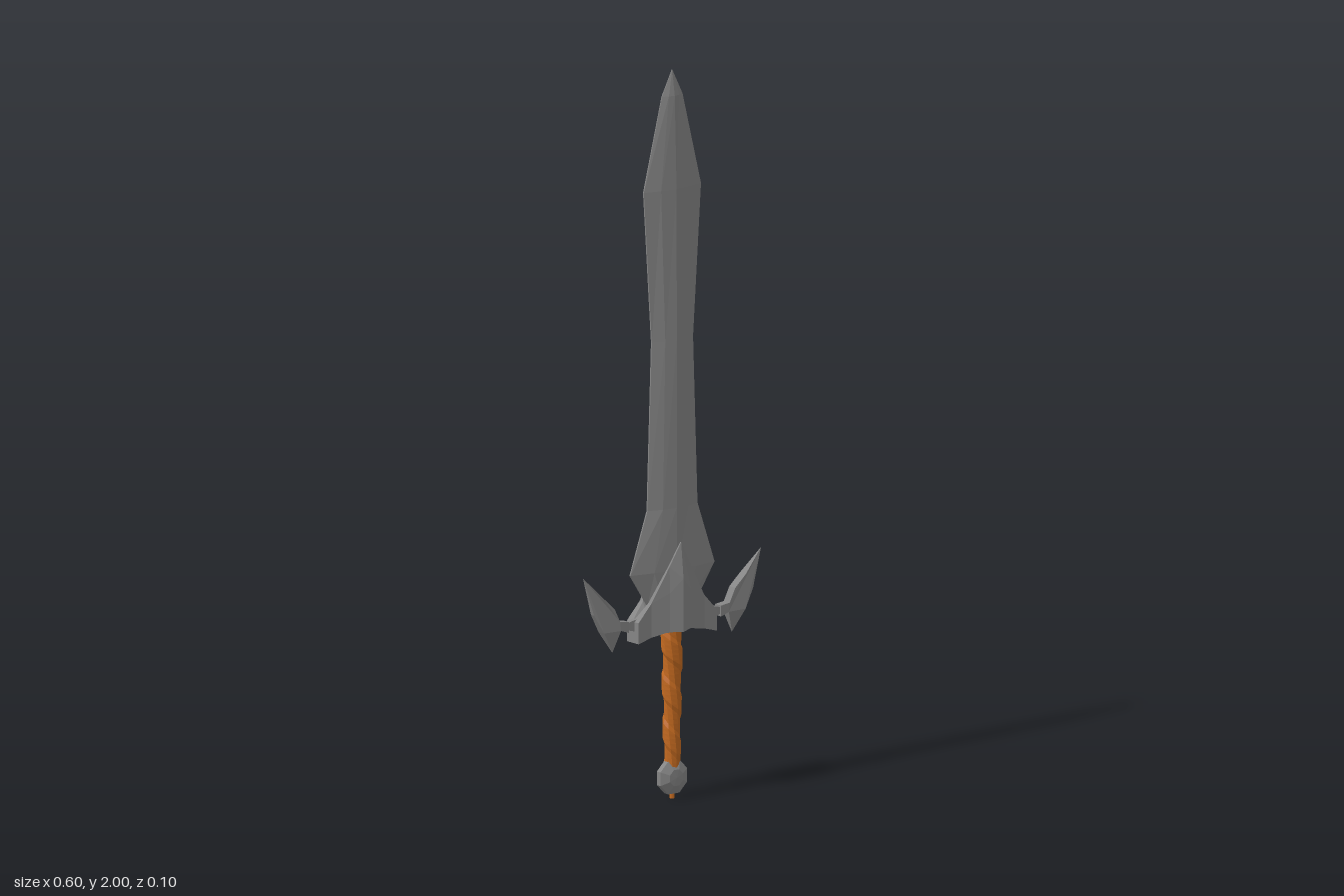
import * as THREE from 'three';

const steel = new THREE.MeshStandardMaterial({ color: 0x848484, flatShading: true });
const leather = new THREE.MeshStandardMaterial({ color: 0xc46a20, flatShading: true });

function add(parent, name, geometry, material = steel) {
  const mesh = new THREE.Mesh(geometry, material);
  mesh.name = name;
  parent.add(mesh);
  return mesh;
}

// Skin through rings of [x, y, z]; rings run counter-clockwise about the loft direction
function loft(rings) {
  const n = rings[0].length, last = rings.length - 1;
  const pos = rings.flat(2), index = [];
  for (let k = 0; k < last; k++) {
    for (let i = 0; i < n; i++) {
      const j = (i + 1) % n, a = k * n + i, b = k * n + j;
      index.push(a, b, b + n, a, b + n, a + n);
    }
  }
  for (let i = 1; i < n - 1; i++) {
    index.push(0, i + 1, i, last * n, last * n + i, last * n + i + 1);
  }
  const g = new THREE.BufferGeometry();
  g.setAttribute('position', new THREE.Float32BufferAttribute(pos, 3));
  g.setIndex(index);
  const flat = g.toNonIndexed();
  flat.computeVertexNormals();
  return flat;
}

// Leaf-shaped blade: [height, half width, half thickness]
function bladeGeometry() {
  const stations = [
    [0.46, 0.07, 0.02], [0.54, 0.085, 0.021], [0.63, 0.143, 0.021], [0.8, 0.085, 0.021],
    [1.26, 0.07, 0.021], [1.675, 0.097, 0.02], [1.93, 0.035, 0.012], [2.0, 0.001, 0.001],
  ];
  return loft(stations.map(([y, w, t]) => [
    [0, y, t], [w * 0.5, y, t * 0.75], [w, y, t * 0.1], [w, y, -t * 0.1], [w * 0.5, y, -t * 0.75],
    [0, y, -t], [-w * 0.5, y, -t * 0.75], [-w, y, -t * 0.1], [-w, y, t * 0.1], [-w * 0.5, y, t * 0.75],
  ]));
}

// One face of the guard, with a spike lying over the blade
function guardGeometry() {
  // x, bottom, top, front z, top z, inner top z, inner foot height
  const half = [
    [0, 0.465, 0.71, 0.05, 0.04, 0.036, 0.53],
    [0.035, 0.468, 0.645, 0.037, 0.034, 0.028, 0.53],
    [0.09, 0.457, 0.55, 0.025, 0.025, 0.012, 0.53],
    [0.133, 0.445, 0.503, 0.025, 0.025, 0.002, 0.503],
  ];
  const mirrored = half.slice(1).reverse().map(([x, ...rest]) => [-x, ...rest]);
  return loft([...mirrored, ...half].map(([x, b, t, zf, zt, zi, m]) => [
    [x, m, 0], [x, t, zi], [x, t, zt], [x, b + (t - b) * 0.6, zf], [x, b, zf], [x, b, 0],
  ]));
}

// Hooked wing that thins towards its points
function wingGeometry() {
  const outline = [
    [0.157, 0.478], [0.183, 0.487], [0.203, 0.428], [0.24, 0.488], [0.27, 0.54],
    [0.302, 0.645], [0.24, 0.582], [0.205, 0.55], [0.186, 0.512], [0.157, 0.508],
  ];
  const shape = new THREE.Shape(outline.map(([x, y]) => new THREE.Vector2(x, y)));
  const g = new THREE.ExtrudeGeometry(shape, { depth: 0.026, bevelEnabled: false });
  g.translate(0, 0, -0.013);
  const p = g.attributes.position;
  for (let i = 0; i < p.count; i++) {
    const taper = Math.min(1, (0.303 - p.getX(i)) / 0.062, (p.getY(i) - 0.425) / 0.05);
    p.setZ(i, p.getZ(i) * Math.max(taper, 0.03));
  }
  g.computeVertexNormals();
  return g;
}

// Tapered oval grip; its rings twist so the raised half forms a broad spiral strap
function gripGeometry() {
  const sides = 10, steps = 28, bottom = 0.085, height = 0.38, pitch = 0.125;
  const rings = [];
  for (let k = 0; k <= steps; k++) {
    const t = k / steps, y = bottom + height * t, ring = [];
    for (let i = 0; i < sides; i++) {
      const a = Math.PI * 2 * (i / sides - y / pitch);
      const raise = i < sides / 2 ? 1 : 0.84;
      ring.push([Math.sin(a) * (0.025 + 0.009 * t) * raise, y, Math.cos(a) * (0.021 + 0.004 * t) * raise]);
    }
    rings.push(ring);
  }
  return loft(rings);
}

export function createModel() {
  const sword = new THREE.Group();
  sword.name = 'sword';

  add(sword, 'blade', bladeGeometry());

  // Guard faces, necks and wings, each repeated by a half turn
  const guard = new THREE.Group();
  guard.name = 'guard';
  sword.add(guard);
  const face = guardGeometry(), wing = wingGeometry();
  const neck = loft([[0.125, 0.475, 0.51, 0.008], [0.16, 0.485, 0.503, 0.007]].map(([x, b, t, z]) => [
    [x, t, -z], [x, t, z], [x, b, z], [x, b, -z],
  ]));
  for (const turn of [0, Math.PI]) {
    const side = turn ? 'right' : 'left';
    add(guard, turn ? 'backGuardPlate' : 'frontGuardPlate', face).rotation.y = turn;
    add(guard, side + 'Neck', neck).rotation.y = turn;
    add(guard, side + 'Wing', wing).rotation.y = turn;
  }

  // Wrapped grip, its end peg showing below the pommel
  add(sword, 'grip', gripGeometry(), leather);
  add(sword, 'gripPeg', new THREE.CylinderGeometry(0.01, 0.007, 0.1, 8), leather).position.y = 0.05;

  // Faceted octagonal pommel
  const profile = [[0, -0.021], [0.024, -0.02], [0.049, -0.008], [0.049, 0.008], [0.024, 0.02], [0, 0.021]];
  const pommel = new THREE.LatheGeometry(profile.map(([r, h]) => new THREE.Vector2(r, h)), 8, Math.PI / 8);
  pommel.rotateX(Math.PI / 2);
  add(sword, 'pommel', pommel).position.y = 0.059;

  return sword;
}
